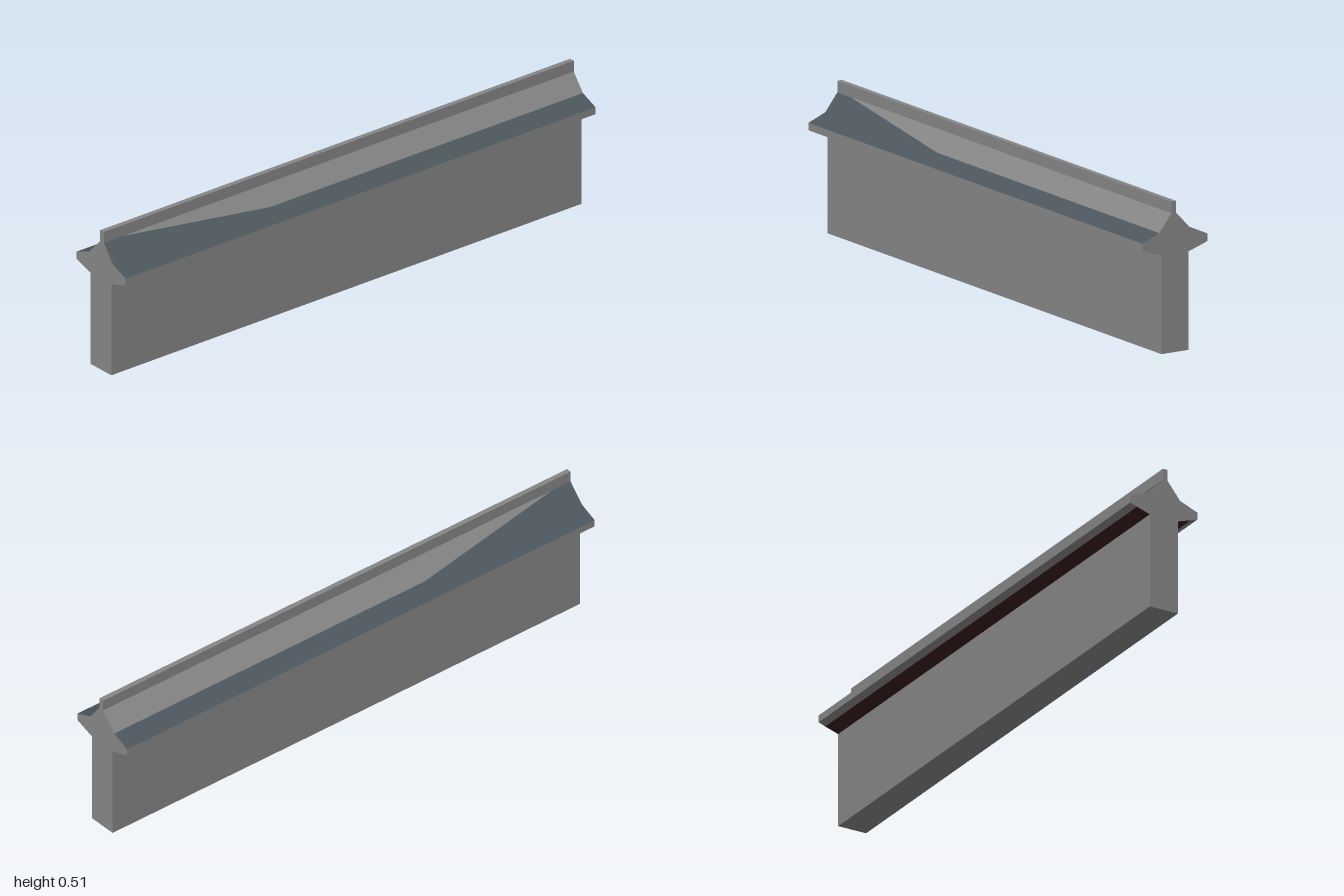
import * as THREE from 'three';

const mat = (name, color) => Object.assign(new THREE.MeshStandardMaterial({ color }), { name });

export function createModel() {
  const stone = mat('grey stone', 0x868686);
  const slate = mat('blue grey slate', 0x4c565c);
  const red = mat('dark red trim', 0x3a1c1e);
  const group = new THREE.Group();

  const add = (name, geometry, material) => {
    const mesh = new THREE.Mesh(geometry, material);
    mesh.name = name;
    group.add(mesh);
  };

  // Flat polygon from [x, y, z] corners, listed counterclockwise from outside
  function polygon(corners, side, normal) {
    const order = side > 0 ? corners : [...corners].reverse();
    const index = [];
    for (let i = 1; i < order.length - 1; i++) index.push(0, i, i + 1);
    const g = new THREE.BufferGeometry();
    g.setAttribute('position', new THREE.Float32BufferAttribute(order.flat(), 3));
    g.setIndex(index);
    g.computeVertexNormals();
    if (normal) {
      for (let i = 0; i < order.length; i++) g.attributes.normal.setXYZ(i, ...normal);
    }
    return g;
  }

  // Half cross-section as [z, y], from the foot of the wall to the ridge top
  const halfProfile = (side) => {
    const ridge = side > 0 ? 0.0145 : 0.004;
    return [[0.054, 0], [0.054, 0.335], [0.103, 0.351], [0.129, 0.36], [0.129, 0.385],
      [0.062, 0.412], [ridge, 0.473], [ridge, 0.513]].map(([z, y]) => [z * side, y]);
  };

  for (const side of [1, -1]) {
    const label = side > 0 ? 'front' : 'back';
    const p = halfProfile(side);
    const at = (x, i) => [x, p[i][1], p[i][0]];
    const strip = (name, i, material) =>
      add(label + name, polygon([at(-1, i), at(1, i), at(1, i + 1), at(-1, i + 1)], side), material);

    strip('WallFace', 0, stone);
    strip('EaveTrim', 1, red);
    strip('EaveUnderside', 2, stone);
    strip('EaveEdge', 3, stone);
    strip('LowerRoof', 4, slate);
    strip('RidgeFace', 6, stone);

    // Upper slope, with the slate sweeping up to the ridge at one end
    const n = new THREE.Vector3(0, 0.067, 0.027 * side).normalize().toArray();
    add(label + 'SlateSweep', polygon([at(-1, 5), at(-0.33, 5), at(-0.92, 6), at(-1, 6)], side, n), slate);
    add(label + 'UpperRoof', polygon([at(-0.33, 5), at(1, 5), at(1, 6), at(-0.92, 6)], side), stone);
  }

  // Ridge top and wall base
  const front = halfProfile(1), back = halfProfile(-1);
  const span = (a, b) => [[-1, a[1], a[0]], [1, a[1], a[0]], [1, b[1], b[0]], [-1, b[1], b[0]]];
  add('ridgeTop', polygon(span(front[7], back[7]), 1), stone);
  add('wallBase', polygon(span(back[0], front[0]), 1), stone);

  // End faces
  const outline = [...front, ...[...back].reverse()];
  for (const end of [1, -1]) {
    const shape = new THREE.Shape(outline.map(([z, y]) => new THREE.Vector2(-z * end, y)));
    const g = new THREE.ShapeGeometry(shape).rotateY(end * Math.PI / 2).translate(end, 0, 0);
    add(end > 0 ? 'leftEnd' : 'rightEnd', g, stone);
  }
  return group;
}
